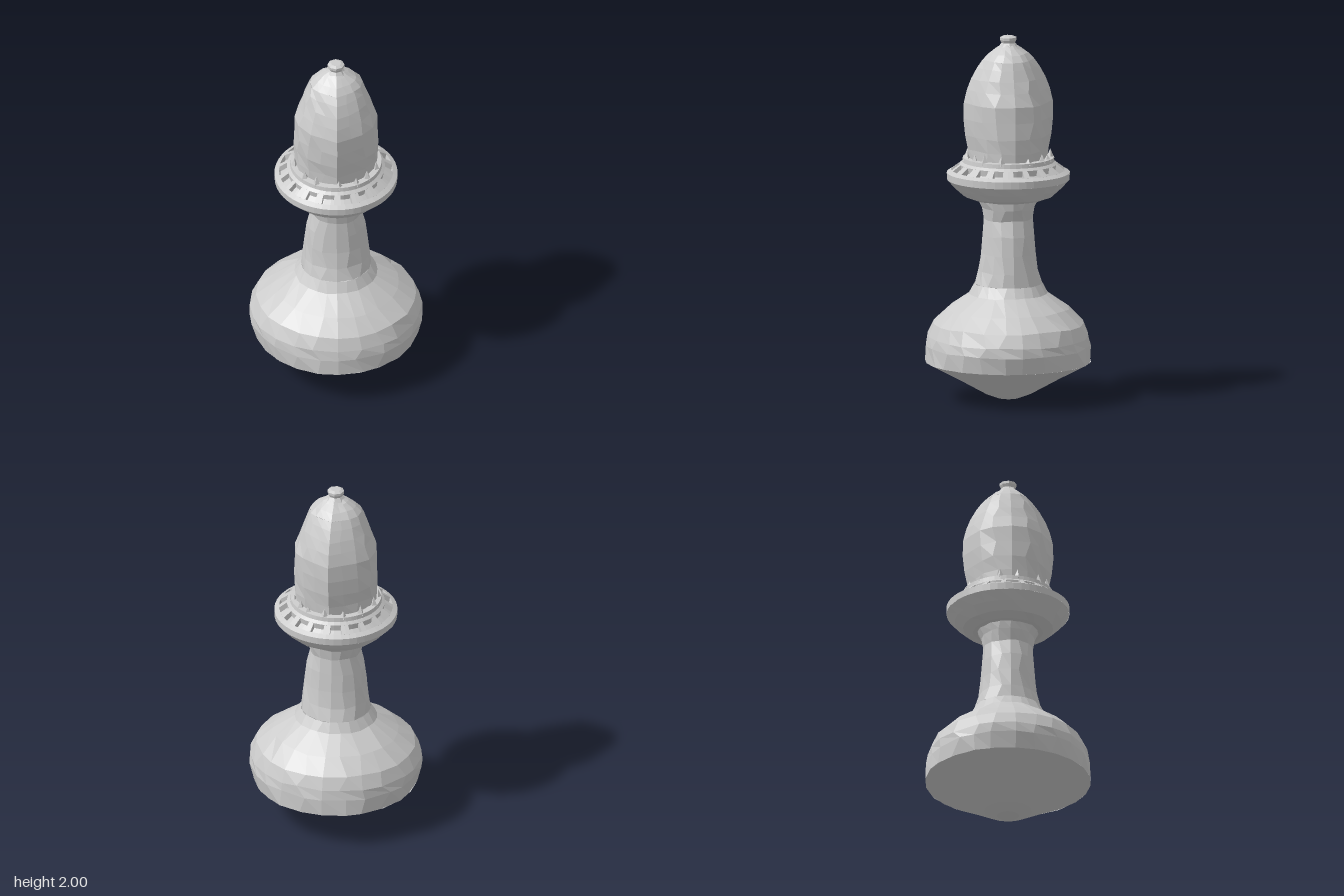
import * as THREE from 'three';

const grey = new THREE.MeshStandardMaterial({ color: 0xcccccc, flatShading: true, side: THREE.DoubleSide });

// Repeatable noise in -1..1
function noise(a, b) {
  const s = Math.sin(a * 127.1 + b * 311.7 + 3.3) * 43758.5453;
  return (s - Math.floor(s)) * 2 - 1;
}

function add(group, name, geometry) {
  const mesh = new THREE.Mesh(geometry, grey);
  mesh.name = name;
  group.add(mesh);
  return mesh;
}

// Turned body: rows of [half width in x, y, half depth in z], bottom to top.
// wobble shifts vertices around the axis for an uneven hand-carved faceting;
// shape(i) scales the radius at each step around the axis.
function turned(rows, sides, wobble = 0, shape = () => 1) {
  const g = new THREE.LatheGeometry(rows.map(r => new THREE.Vector2(r[0], r[1])), sides);
  const p = g.attributes.position;
  for (let i = 0; i <= sides; i++) {
    for (let j = 0; j < rows.length; j++) {
      const [rx, y, rz = rx] = rows[j];
      const k = i % sides;
      const loose = k % (sides / 4) === 0 ? 0 : wobble;
      const a = (k + loose * noise(k, j)) / sides * Math.PI * 2;
      const edge = j === 0 || j === rows.length - 1;
      const s = shape(k) * (1 + loose * 0.04 * noise(j, k + 9));
      p.setXYZ(i * rows.length + j, Math.sin(a) * rx * s,
        y + (edge ? 0 : loose * 0.025 * noise(k + 5, j)), Math.cos(a) * rz * s);
    }
  }
  g.computeVertexNormals();
  return g;
}

// Closed cross-section swept through part of a turn, with both ends capped
function arcBlock(group, name, section, start, length) {
  const block = new THREE.Group();
  block.name = name;
  const pts = section.map(q => new THREE.Vector2(q[0], q[1]));
  const steps = Math.max(1, Math.ceil(length / 0.13));
  add(block, name + 'Body', new THREE.LatheGeometry([...pts, pts[0]], steps, start, length));
  for (const phi of [start, start + length]) {
    add(block, name + 'End', new THREE.ShapeGeometry(new THREE.Shape(pts))).rotation.y = phi - Math.PI / 2;
  }
  group.add(block);
}

export function createModel() {
  const model = new THREE.Group();
  model.name = 'turnedPiece';

  // Bulbous foot with a shallow conical underside
  add(model, 'underside', turned([
    [0, 0], [0.06, 0.008], [0.13, 0.035], [0.29, 0.125], [0.447, 0.21, 0.45],
  ], 24));
  add(model, 'foot', turned([
    [0.447, 0.21, 0.45], [0.47, 0.30, 0.447], [0.468, 0.355, 0.437], [0.435, 0.425, 0.41],
    [0.34, 0.505, 0.33], [0.225, 0.585, 0.215], [0.19, 0.64, 0.185],
  ], 24, 0.25));

  // Waisted stem flaring under the collar
  add(model, 'stem', turned([
    [0.19, 0.64, 0.185], [0.183, 0.71, 0.162], [0.172, 0.81, 0.15], [0.16, 0.91, 0.142],
    [0.138, 1.0, 0.135], [0.158, 1.06, 0.145], [0.165, 1.12, 0.175],
  ], 16, 0.25));

  // Collar: dish below, rim, and a sunken channel in the sloping top
  add(model, 'collarDish', turned([
    [0.13, 1.10], [0.19, 1.103], [0.245, 1.125], [0.29, 1.165], [0.333, 1.212],
  ], 24, 0.1));
  add(model, 'collarTop', turned([
    [0.333, 1.212], [0.334, 1.25], [0.308, 1.265], [0.302, 1.235], [0.262, 1.265],
    [0.266, 1.297], [0.25, 1.31], [0.247, 1.333], [0.215, 1.335],
  ], 48));

  // Bars across the channel leave a ring of small windows
  const windows = 18, pitch = Math.PI * 2 / windows;
  for (let i = 0; i < windows; i++) {
    const width = pitch * (0.42 + 0.16 * noise(i, 2));
    arcBlock(model, 'collarBar', [[0.31, 1.228], [0.31, 1.264], [0.264, 1.298], [0.258, 1.262]],
      i * pitch - width / 2, width);
  }

  // Small uneven spurs around the root of the dome
  for (let i = 0; i < 14; i++) {
    const a = (i + 0.25 * noise(i, 4)) / 14 * Math.PI * 2;
    const h = 0.05 + 0.015 * noise(i, 7);
    const spur = add(model, 'spur', new THREE.ConeGeometry(0.024, h, 4));
    spur.position.set(Math.sin(a) * 0.228, 1.322 + h / 2, Math.cos(a) * 0.228);
    spur.rotation.y = a;
  }

  // Dome with a ridge running up its front and back
  const ridge = [1, 0.9, 0.93, 0.99, 1];
  add(model, 'dome', turned([
    [0.222, 1.31, 0.215], [0.226, 1.38, 0.222], [0.23, 1.46, 0.238], [0.226, 1.55, 0.247],
    [0.225, 1.64, 0.245], [0.198, 1.71, 0.228], [0.178, 1.77, 0.205], [0.157, 1.83, 0.172],
    [0.142, 1.872, 0.142],
  ], 16, 0.18, i => ridge[i % 8 <= 4 ? i % 8 : 8 - i % 8]));
  add(model, 'domeCap', turned([
    [0.142, 1.872], [0.11, 1.905], [0.07, 1.935], [0.04, 1.953], [0, 1.955],
  ], 16, 0.15, i => ridge[i % 8 <= 4 ? i % 8 : 8 - i % 8]));

  // Small knob on top
  add(model, 'knob', turned([
    [0.055, 1.94], [0.038, 1.962], [0.046, 1.978], [0.046, 1.992], [0.028, 2], [0, 2],
  ], 8));

  return model;
}
